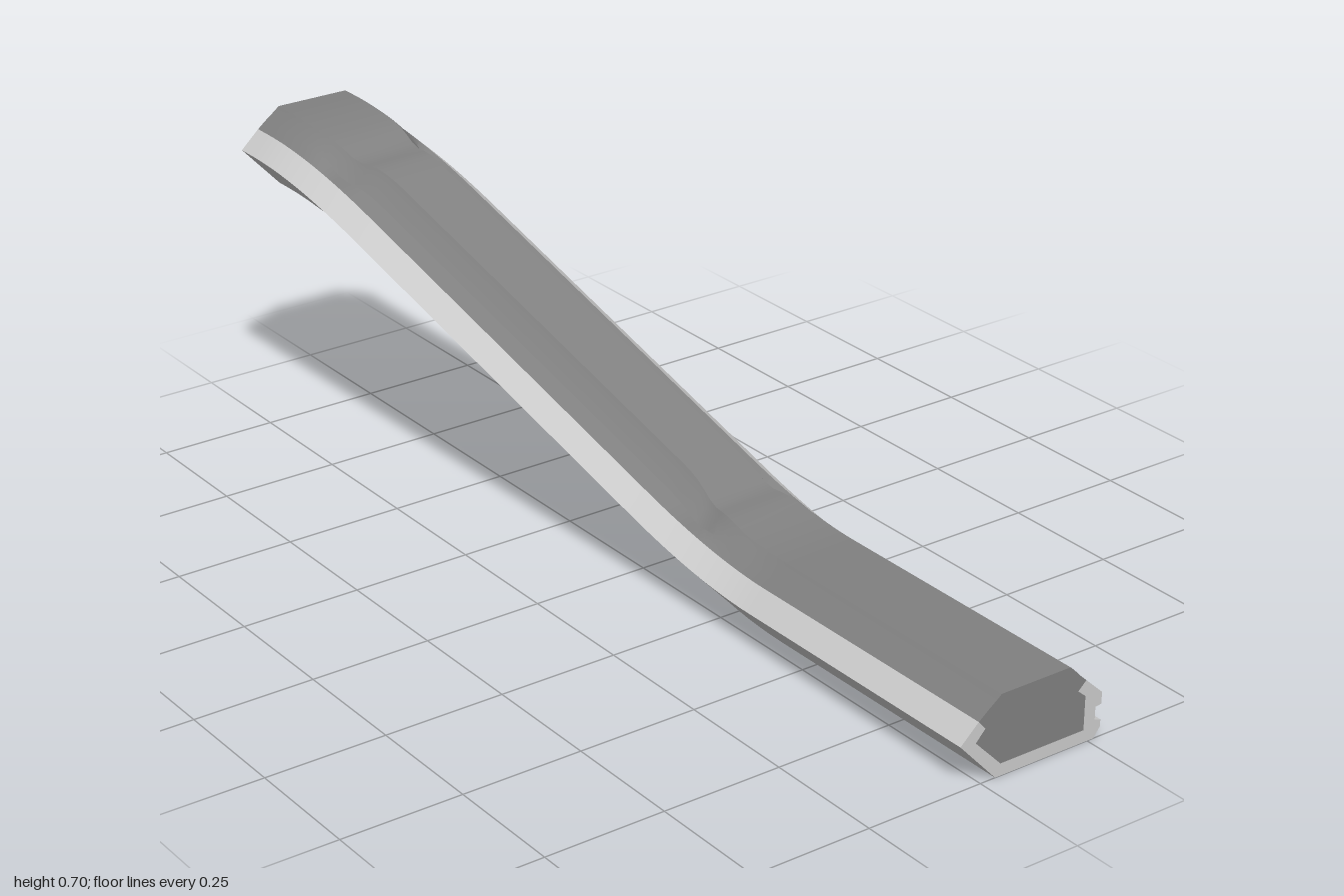
import * as THREE from 'three';
import { toCreasedNormals } from 'three/addons/utils/BufferGeometryUtils.js';

// Cross-section points run counter-clockwise: [x, y at the ends, x, y on the slope]
const same = (x, y) => [x, y, x, y];
const seat = [same(-0.01, 0.127), same(0.006, 0.108), same(-0.015, 0.086),
  [0.045, 0.025, 0.045, 0.042], [0.24, 0.025, 0.24, 0.042], same(0.24, 0.095), same(0.222, 0.11), same(0.24, 0.127)];
const shellProfile = [
  same(-0.05, 0.09), [0.034, 0, 0.034, 0.02], [0.265, 0, 0.265, 0.02], [0.28, 0.02, 0.28, 0.028],
  same(0.28, 0.034), same(0.266, 0.038), same(0.266, 0.064), same(0.28, 0.066), same(0.28, 0.09),
  ...seat.slice().reverse(),
];
const coreProfile = [
  ...seat,
  [0.225, 0.141, 0.216, 0.128], [0.208, 0.159, 0.2, 0.155], [0.2, 0.166, 0.19, 0.169],
  [0.04, 0.166, 0.07, 0.169], [0.032, 0.159, 0.06, 0.155], [0.01, 0.143, 0.032, 0.128],
];

// S-shaped path: straight runs joined by two gentle bends
const bend = (s, w = 0.32) => (s < 0 ? 0 : s < w ? (s * s) / (2 * w) : s - w / 2);
const rise = z => (bend(0.4 - z) - bend(-0.64 - z)) / 1.04;
const slopeWeight = z =>
  THREE.MathUtils.smoothstep(-z, -0.3, -0.08) * (1 - THREE.MathUtils.smoothstep(-z, 0.64, 0.86));
// Shallow cross grooves where the raised panel starts and stops
const groove = z => 0.014 * (Math.exp(-(((z - 0.17) / 0.035) ** 2)) + Math.exp(-(((z + 0.75) / 0.035) ** 2)));

const stations = [1, 0.56];
for (let z = 0.4; z > -0.97; z -= 0.02) stations.push(z);
stations.push(-1);

function sweep(profile, name, color, grooved) {
  const n = profile.length;
  const positions = [];
  const index = [];
  for (const z of stations) {
    const t = rise(z);
    const w = slopeWeight(z);
    for (const [x, y, mx, my] of profile) {
      const dip = grooved && y > 0.13 ? groove(z) : 0;
      positions.push(x + (mx - x) * w - 0.235 * t, y + (my - y) * w - dip + 0.534 * t, z);
    }
  }
  for (let s = 0; s < stations.length - 1; s++) {
    for (let i = 0; i < n; i++) {
      const a = s * n + i;
      const b = s * n + ((i + 1) % n);
      index.push(a, a + n, b, b, a + n, b + n);
    }
  }
  // End caps
  const outline = profile.map(([x, y]) => new THREE.Vector2(x, y));
  const last = (stations.length - 1) * n;
  for (const [a, b, c] of THREE.ShapeUtils.triangulateShape(outline, [])) {
    index.push(a, b, c, last + a, last + c, last + b);
  }
  const geometry = new THREE.BufferGeometry();
  geometry.setAttribute('position', new THREE.Float32BufferAttribute(positions, 3));
  geometry.setIndex(index);
  const mesh = new THREE.Mesh(toCreasedNormals(geometry, 0.45), new THREE.MeshStandardMaterial({ color }));
  mesh.name = name;
  return mesh;
}

export function createModel() {
  const group = new THREE.Group();
  group.name = 'offsetRail';
  group.add(sweep(shellProfile, 'outerShell', 0xcccccc, false));
  group.add(sweep(coreProfile, 'innerCore', 0x808080, true));
  return group;
}
